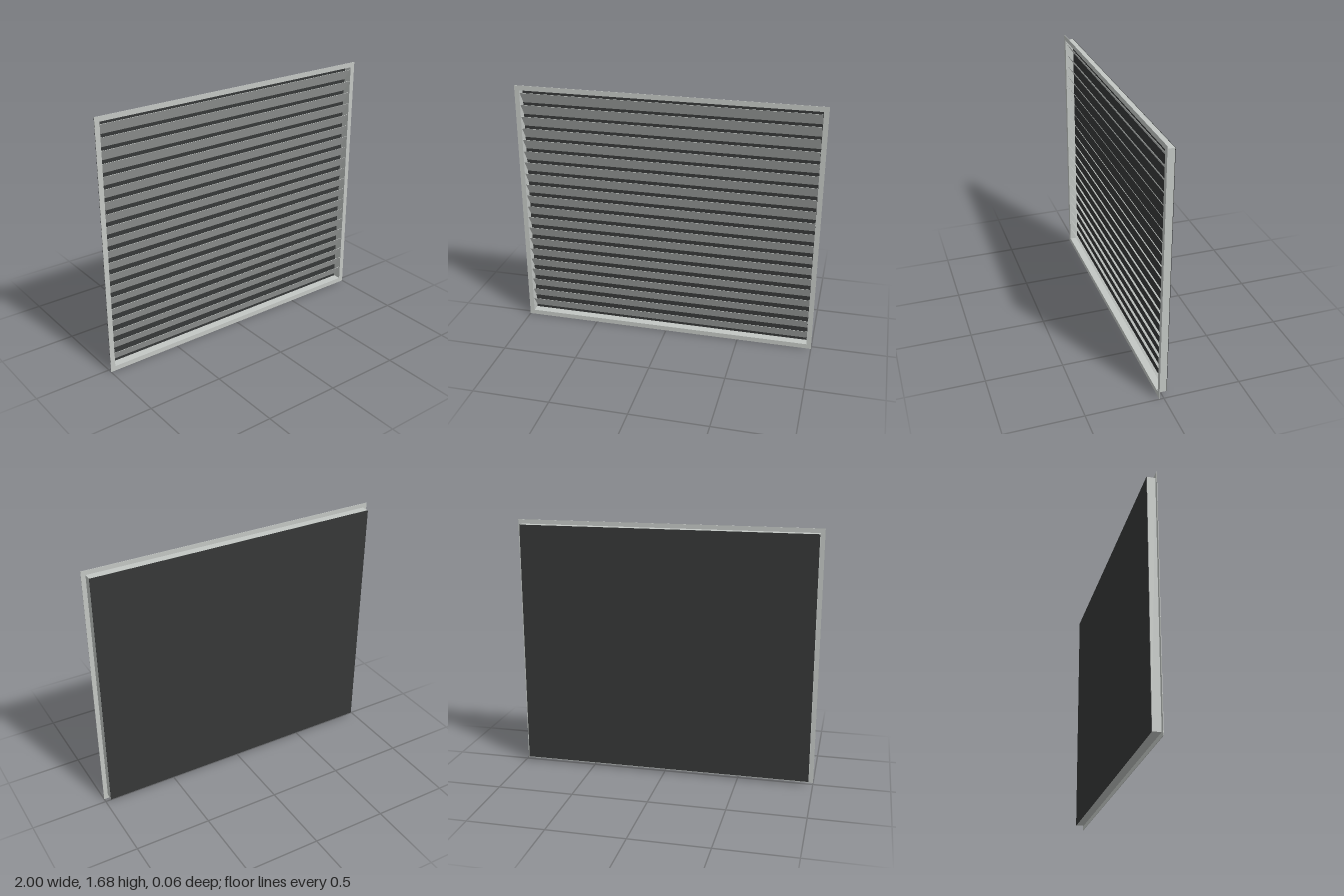
import * as THREE from 'three';

const WIDTH = 2, HEIGHT = 1.685, DEPTH = 0.058;
const RIM = 0.03;      // visible border of the flange
const WALL = 0.004;    // casing sheet thickness
const SLATS = 20;

// Rectangular ring, centred on the origin, extruded along z
function ring(w, h, innerW, innerH, depth) {
  const rect = (Type, a, b) => new Type([
    new THREE.Vector2(-a / 2, -b / 2), new THREE.Vector2(a / 2, -b / 2),
    new THREE.Vector2(a / 2, b / 2), new THREE.Vector2(-a / 2, b / 2),
  ]);
  const shape = rect(THREE.Shape, w, h);
  shape.holes.push(rect(THREE.Path, innerW, innerH));
  return new THREE.ExtrudeGeometry(shape, { depth, bevelEnabled: false });
}

export function createModel() {
  const group = new THREE.Group();
  group.name = 'louvreVent';

  const metal = new THREE.MeshStandardMaterial({ color: 0xc3c7c4 });
  metal.name = 'pale grey metal';
  const dark = new THREE.MeshStandardMaterial({ color: 0x363838 });
  dark.name = 'dark backing';

  const add = (name, geometry, material, y, z, parent = group) => {
    const mesh = new THREE.Mesh(geometry, material);
    mesh.name = name;
    mesh.position.set(0, y, z);
    parent.add(mesh);
    return mesh;
  };

  const mid = HEIGHT / 2, front = DEPTH / 2;
  const innerW = WIDTH - 2 * RIM - WALL, innerH = HEIGHT - 2 * RIM - WALL;
  const outerW = innerW + 2 * WALL, outerH = innerH + 2 * WALL;

  // Thin front flange and the shallow casing behind it
  add('frontFlange', ring(WIDTH, HEIGHT, innerW, innerH, 0.003), metal, mid, front - 0.003);
  add('casing', ring(outerW, outerH, innerW, innerH, DEPTH - 0.006), metal, mid, -front + 0.003);

  // Backing sheet closing the casing
  add('backPanel', new THREE.BoxGeometry(outerW, outerH, 0.003), dark, mid, -front + 0.0015);

  // Slats lean forward: top edge at the front, bottom edge near the back
  const slats = new THREE.Group();
  slats.name = 'slats';
  group.add(slats);
  const top = 1.637, bottom = 0.049, pitch = (top - bottom) / SLATS;
  const rise = pitch - 0.004, run = 0.05;
  const slatGeometry = new THREE.BoxGeometry(innerW - 0.004, Math.hypot(rise, run), 0.002);
  for (let i = 0; i < SLATS; i++) {
    const slat = add('slat' + (i + 1), slatGeometry, metal, bottom + (i + 0.5) * pitch, 0, slats);
    slat.rotation.x = Math.atan2(run, rise);
  }
  return group;
}
